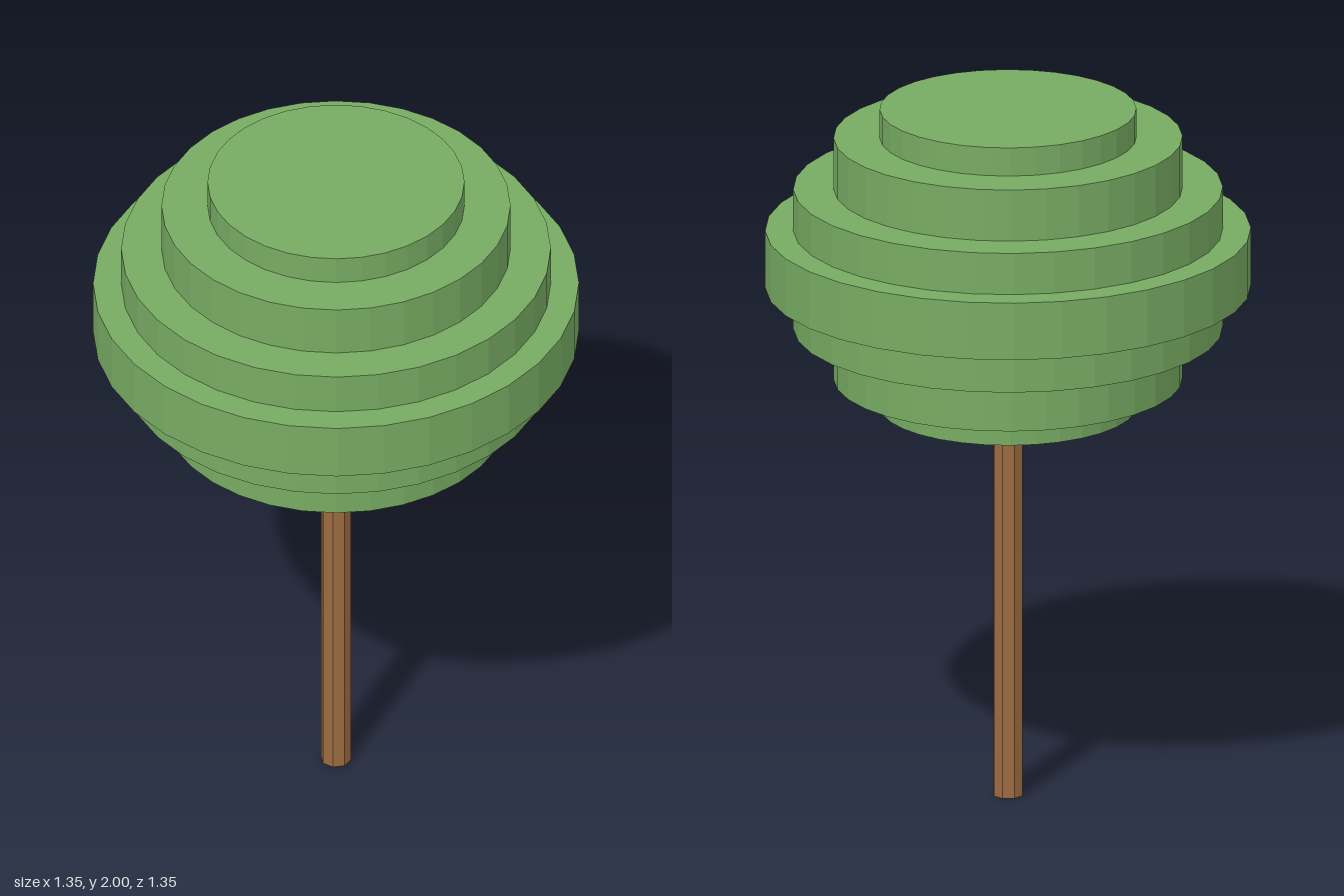
import * as THREE from 'three';

export function createModel() {
  const tree = new THREE.Group();
  tree.name = 'tree';
  const leafGreen = new THREE.MeshStandardMaterial({ color: 0x77ab62, flatShading: true });
  leafGreen.name = 'leaf green';
  const barkBrown = new THREE.MeshStandardMaterial({ color: 0x9c6b40, flatShading: true });
  barkBrown.name = 'bark brown';

  // Crown: nested discs sharing one centre, wide and thin to narrow and tall
  const crown = new THREE.Group();
  crown.name = 'crown';
  crown.position.y = 1.566;
  const discs = [[0.675, 0.166], [0.597, 0.406], [0.485, 0.704], [0.357, 0.868]]; // radius, height
  discs.forEach(([radius, height], i) => {
    const disc = new THREE.Mesh(new THREE.CylinderGeometry(radius, radius, height, 32), leafGreen);
    disc.name = `crownDisc${i + 1}`;
    crown.add(disc);
  });
  tree.add(crown);

  // Trunk: slim eight-sided pole with a flat side to the front
  const trunkHeight = 1.14;
  const trunk = new THREE.Mesh(new THREE.CylinderGeometry(0.043, 0.043, trunkHeight, 8), barkBrown);
  trunk.name = 'trunk';
  trunk.rotation.y = Math.PI / 8;
  trunk.position.y = trunkHeight / 2;
  tree.add(trunk);

  return tree;
}
